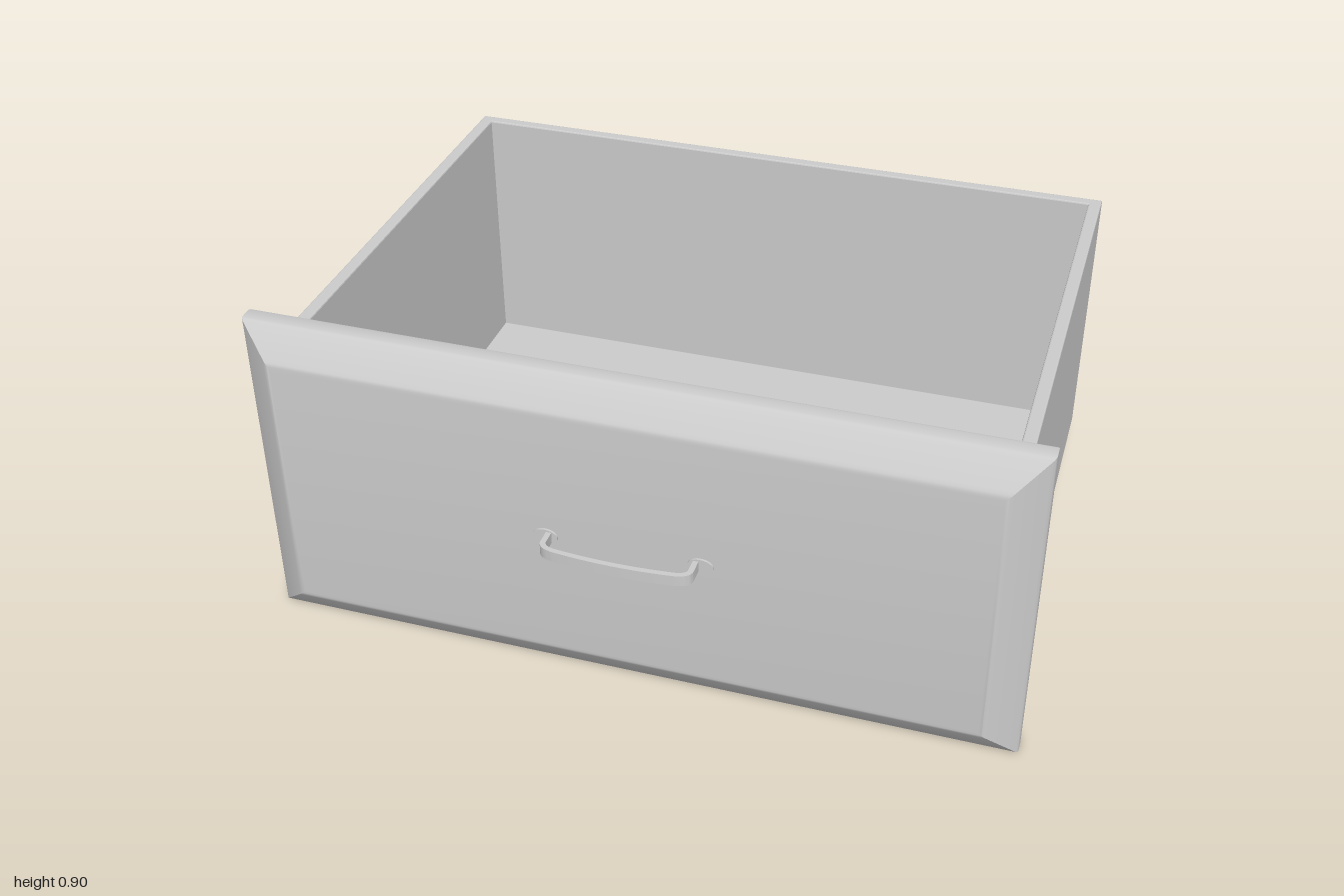
import * as THREE from 'three';
import { toCreasedNormals, mergeVertices } from 'three/addons/utils/BufferGeometryUtils.js';

const material = new THREE.MeshStandardMaterial({ color: 0xcccccc });

function addMesh(parent, name, geometry) {
  const mesh = new THREE.Mesh(geometry, material);
  mesh.name = name;
  parent.add(mesh);
  return mesh;
}

function rectangle(Type, x0, y0, x1, y1) {
  return new Type([[x0, y0], [x1, y0], [x1, y1], [x0, y1]].map(p => new THREE.Vector2(...p)));
}

// Solid made of nested rectangles, each given as [inset, z], capped at both ends
function rectangleLoft(width, height, rings) {
  const positions = [], index = [];
  for (const [inset, z] of rings) {
    const x = width / 2 - inset, y = height / 2 - inset;
    positions.push(-x, -y, z, x, -y, z, x, y, z, -x, y, z);
  }
  for (let r = 0; r < rings.length - 1; r++) {
    for (let i = 0; i < 4; i++) {
      const a = r * 4 + i, b = r * 4 + (i + 1) % 4;
      index.push(a, b, b + 4, a, b + 4, a + 4);
    }
  }
  const e = (rings.length - 1) * 4;
  index.push(0, 2, 1, 0, 3, 2, e, e + 1, e + 2, e, e + 2, e + 3);
  const geometry = new THREE.BufferGeometry();
  geometry.setAttribute('position', new THREE.Float32BufferAttribute(positions, 3));
  geometry.setIndex(index);
  return toCreasedNormals(geometry, 0.45);
}

export function createModel() {
  const drawer = new THREE.Group();
  drawer.name = 'drawer';

  // Four walls: an upright frame with softened edges
  const bevel = 0.004;
  const frame = rectangle(THREE.Shape, -0.94 + bevel, -0.575 + bevel, 0.94 - bevel, 0.765 - bevel);
  frame.holes.push(rectangle(THREE.Path, -0.905 - bevel, -0.535 - bevel, 0.905 + bevel, 0.733 + bevel));
  const walls = new THREE.ExtrudeGeometry(frame, {
    depth: 0.755 - 2 * bevel, bevelThickness: bevel, bevelSize: bevel, bevelSegments: 2
  });
  walls.rotateX(-Math.PI / 2).translate(0, 0.065 + bevel, 0);
  addMesh(drawer, 'walls', walls);

  // Bottom board
  const floor = new THREE.BoxGeometry(1.83, 0.03, 1.29);
  addMesh(drawer, 'floor', floor).position.set(0, 0.081, -0.099);

  // Front panel with a mitred, sloping border
  const panel = rectangleLoft(2, 0.9, [
    [0.008, 0.575], [0.002, 0.577], [0, 0.583], [0, 0.616], [0.002, 0.622], [0.006, 0.627],
    [0.074, 0.674], [0.081, 0.679], [0.088, 0.682], [0.096, 0.683]
  ]);
  addMesh(drawer, 'frontPanel', panel).position.y = 0.45;

  // Bowed pull: a flat strap outlined in plan, then extruded upward
  const handle = new THREE.Group();
  handle.name = 'handle';
  handle.position.y = 0.452;
  drawer.add(handle);

  const strap = new THREE.Shape();
  strap.moveTo(0.196, 0.68);
  strap.lineTo(0.196, 0.728);
  strap.quadraticCurveTo(0.194, 0.752, 0.155, 0.758);
  strap.quadraticCurveTo(0, 0.776, -0.155, 0.758);
  strap.quadraticCurveTo(-0.194, 0.752, -0.196, 0.728);
  strap.lineTo(-0.196, 0.68);
  strap.lineTo(-0.182, 0.68);
  strap.lineTo(-0.182, 0.726);
  strap.quadraticCurveTo(-0.181, 0.741, -0.152, 0.745);
  strap.quadraticCurveTo(0, 0.761, 0.152, 0.745);
  strap.quadraticCurveTo(0.181, 0.741, 0.182, 0.726);
  strap.lineTo(0.182, 0.68);
  const grip = new THREE.ExtrudeGeometry(strap, { depth: 0.03, bevelEnabled: false, curveSegments: 10 });
  grip.rotateX(Math.PI / 2).translate(0, 0.015, 0);
  grip.deleteAttribute('normal');
  grip.deleteAttribute('uv');
  addMesh(handle, 'grip', toCreasedNormals(mergeVertices(grip), 0.6));

  // Mounting feet against the panel
  for (const side of [-1, 1]) {
    const foot = new THREE.CylinderGeometry(0.5, 0.5, 1, 24).rotateX(Math.PI / 2);
    foot.scale(0.066, 0.042, 0.01);
    addMesh(handle, side > 0 ? 'leftFoot' : 'rightFoot', foot).position.set(side * 0.2, 0, 0.684);
  }

  return drawer;
}
